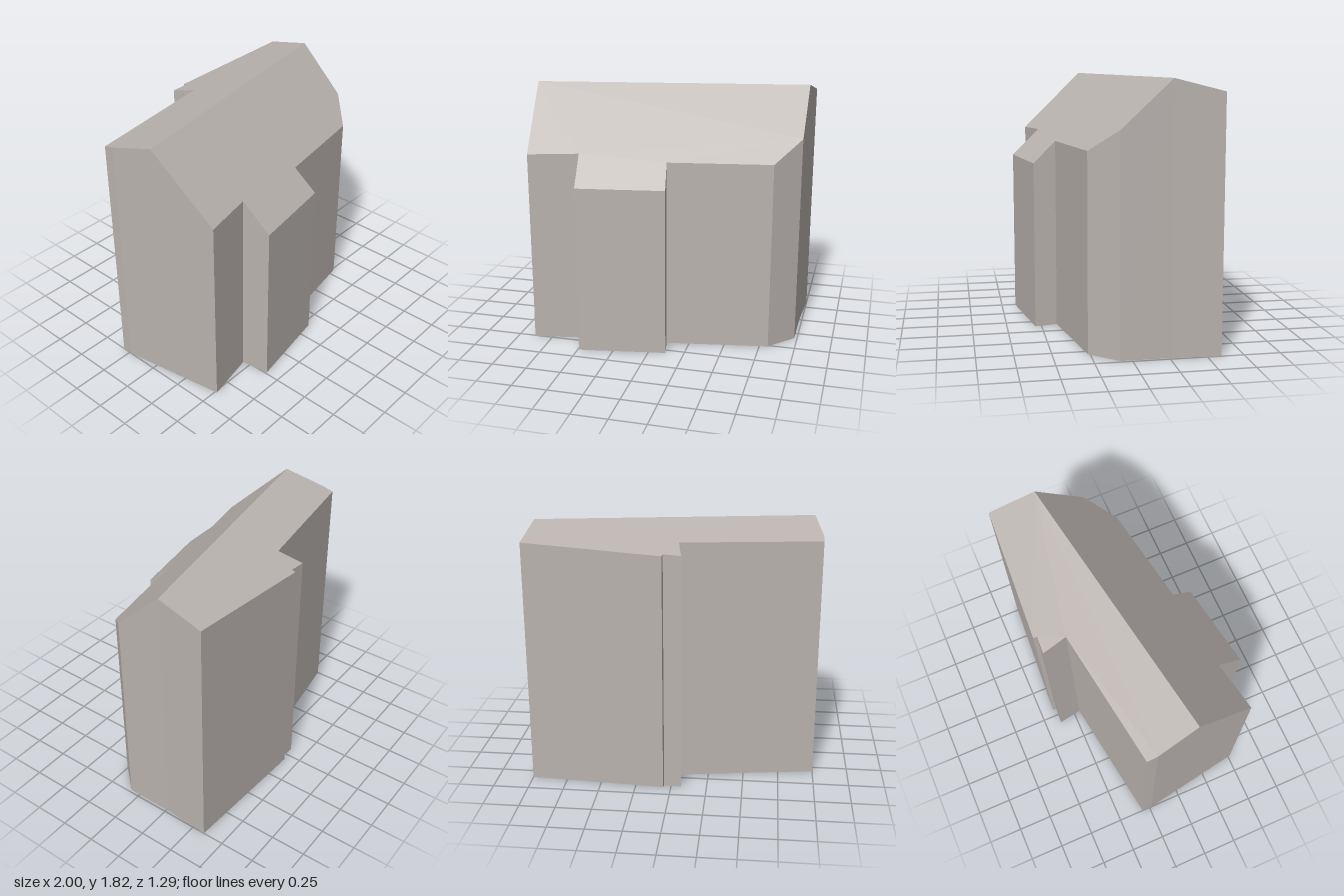
import * as THREE from 'three';

// Footprint corners as [x, z]; the ridge splits it into a back and a front half
const ridgeLeft = [0.98, -0.26];
const ridgeRight = [-0.95, 0.065];
const backEdge = [
  [-1, -0.235], [-1, -0.31], [-0.04, -0.455], [-0.07, -0.63],
  [0.05, -0.623], [0.055, -0.65], [1, -0.595],
];
const frontEdge = [
  [0.98, 0.08], [0.81, 0.265], [0.09, 0.385], [0.12, 0.545],
  [-0.49, 0.645], [-0.52, 0.445], [-0.875, 0.515],
];

const RIDGE_HEIGHT = 1.815;
const FRONT_PITCH = 0.949;
const BACK_PITCH = 0.26;

// Roof height falls with the distance from the ridge line
function roofHeight(x, z) {
  const dx = ridgeLeft[0] - ridgeRight[0];
  const dz = ridgeLeft[1] - ridgeRight[1];
  const d = ((z - ridgeRight[1]) * dx - (x - ridgeRight[0]) * dz) / Math.hypot(dx, dz);
  return RIDGE_HEIGHT - (d > 0 ? d * FRONT_PITCH : -d * BACK_PITCH);
}

// Flat polygon facing up, lying in the ground plane
function flatPolygon(points) {
  const shape = new THREE.Shape(points.map(([x, z]) => new THREE.Vector2(x, -z)));
  return new THREE.ShapeGeometry(shape).rotateX(-Math.PI / 2);
}

// Polygon lifted onto the roof slope
function roofSlope(points) {
  const geometry = flatPolygon(points);
  const p = geometry.attributes.position;
  for (let i = 0; i < p.count; i++) p.setY(i, roofHeight(p.getX(i), p.getZ(i)));
  geometry.computeVertexNormals();
  return geometry;
}

// Upright walls around the outline, each reaching up to the roof
function wallRing(points) {
  const positions = [];
  points.forEach(([ax, az], i) => {
    const [bx, bz] = points[(i + 1) % points.length];
    const a0 = [ax, 0, az], a1 = [ax, roofHeight(ax, az), az];
    const b0 = [bx, 0, bz], b1 = [bx, roofHeight(bx, bz), bz];
    positions.push(...b0, ...a0, ...a1, ...b0, ...a1, ...b1);
  });
  const geometry = new THREE.BufferGeometry();
  geometry.setAttribute('position', new THREE.Float32BufferAttribute(positions, 3));
  geometry.computeVertexNormals();
  return geometry;
}

export function createModel() {
  const group = new THREE.Group();
  group.name = 'house';
  const stone = new THREE.MeshStandardMaterial({ name: 'warmGrey', color: 0xbab3af });

  const add = (name, geometry) => {
    const mesh = new THREE.Mesh(geometry, stone);
    mesh.name = name;
    group.add(mesh);
  };

  const outline = [ridgeRight, ...backEdge, ridgeLeft, ...frontEdge];
  add('walls', wallRing(outline));
  add('backRoof', roofSlope([ridgeRight, ...backEdge, ridgeLeft]));
  add('frontRoof', roofSlope([ridgeLeft, ...frontEdge, ridgeRight]));
  // Floor: mirrored polygon turned over to face down
  add('floor', flatPolygon(outline.map(([x, z]) => [x, -z])).rotateX(Math.PI));

  return group;
}
